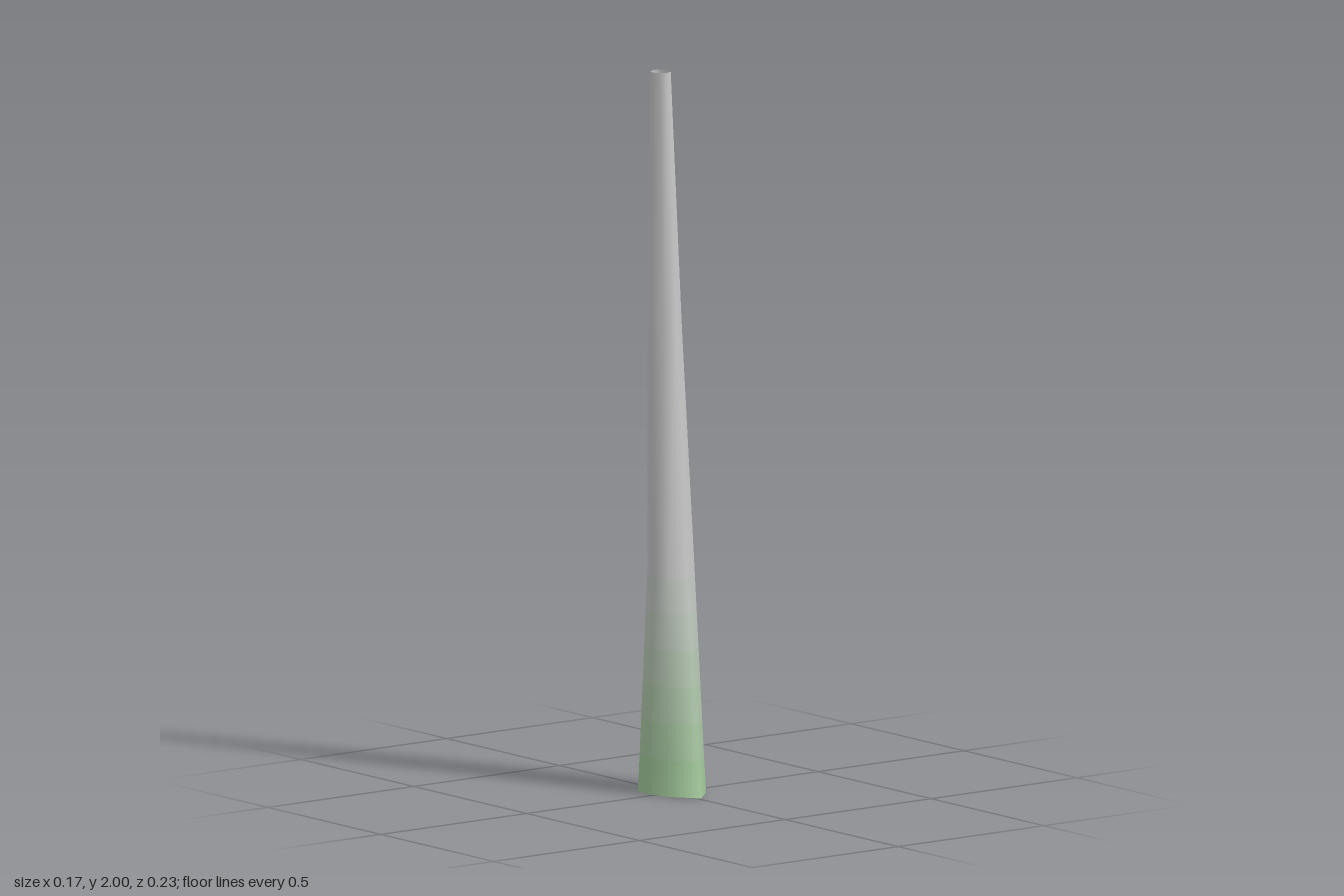
import * as THREE from 'three';

// Cross-sections of the trunk: height, then [x, z] corners going round from the back
const sections = [
  [0, [[0.008, -0.118], [0.065, -0.068], [0.085, -0.01], [0.073, 0.055], [0.008, 0.117], [-0.05, 0.04], [-0.068, -0.025], [-0.058, -0.078]]],
  [0.1, [[0.007, -0.107], [0.063, -0.064], [0.081, -0.01], [0.069, 0.051], [0.008, 0.103], [-0.049, 0.04], [-0.066, -0.02], [-0.056, -0.073]]],
  [0.6, [[0.005, -0.07], [0.053, -0.046], [0.065, -0.008], [0.05, 0.035], [0.008, 0.055], [-0.042, 0.04], [-0.058, 0], [-0.046, -0.052]]],
  [1.3, [[-0.025, -0.048], [0.01, -0.037], [0.024, -0.003], [0.007, 0.032], [-0.025, 0.047], [-0.057, 0.035], [-0.072, 0], [-0.058, -0.036]]],
  [2, [[-0.058, -0.005], [-0.039, 0.003], [-0.031, 0.023], [-0.039, 0.043], [-0.058, 0.052], [-0.078, 0.043], [-0.087, 0.023], [-0.078, 0.003]]],
];
const sides = 8;

// Corners of the section at any height
function ringAt(y) {
  let k = 0;
  while (k < sections.length - 2 && y > sections[k + 1][0]) k++;
  const [y0, a] = sections[k], [y1, b] = sections[k + 1];
  const t = (y - y0) / (y1 - y0);
  return a.map(([x, z], i) => [THREE.MathUtils.lerp(x, b[i][0], t), y, THREE.MathUtils.lerp(z, b[i][1], t)]);
}

export function createModel() {
  const group = new THREE.Group();
  group.name = 'treeTrunk';

  // Short bands low down, where the mossy tint fades into grey
  const heights = [0, 0.1, 0.2, 0.3, 0.4, 0.5, 0.6, 1.3, 2];
  const positions = heights.flatMap((y) => ringAt(y).flat());
  const moss = new THREE.Color(0xa0cc98), bark = new THREE.Color(0xcccccc);
  const geometry = new THREE.BufferGeometry();
  const index = [], materials = [];

  for (let i = 0; i < heights.length - 1; i++) {
    geometry.addGroup(index.length, sides * 6, i);
    for (let j = 0; j < sides; j++) {
      const a = i * sides + j, b = i * sides + (j + 1) % sides;
      index.push(a, a + sides, b, b, a + sides, b + sides);
    }
    const fade = Math.min(1, (heights[i] + 0.05) / 0.65);
    materials.push(new THREE.MeshStandardMaterial({ color: moss.clone().lerp(bark, fade), side: THREE.DoubleSide }));
  }
  geometry.setAttribute('position', new THREE.Float32BufferAttribute(positions, 3));
  geometry.setIndex(index);
  geometry.computeVertexNormals();

  // Hollow trunk, open at both ends
  const trunk = new THREE.Mesh(geometry, materials);
  trunk.name = 'trunk';
  group.add(trunk);
  return group;
}
